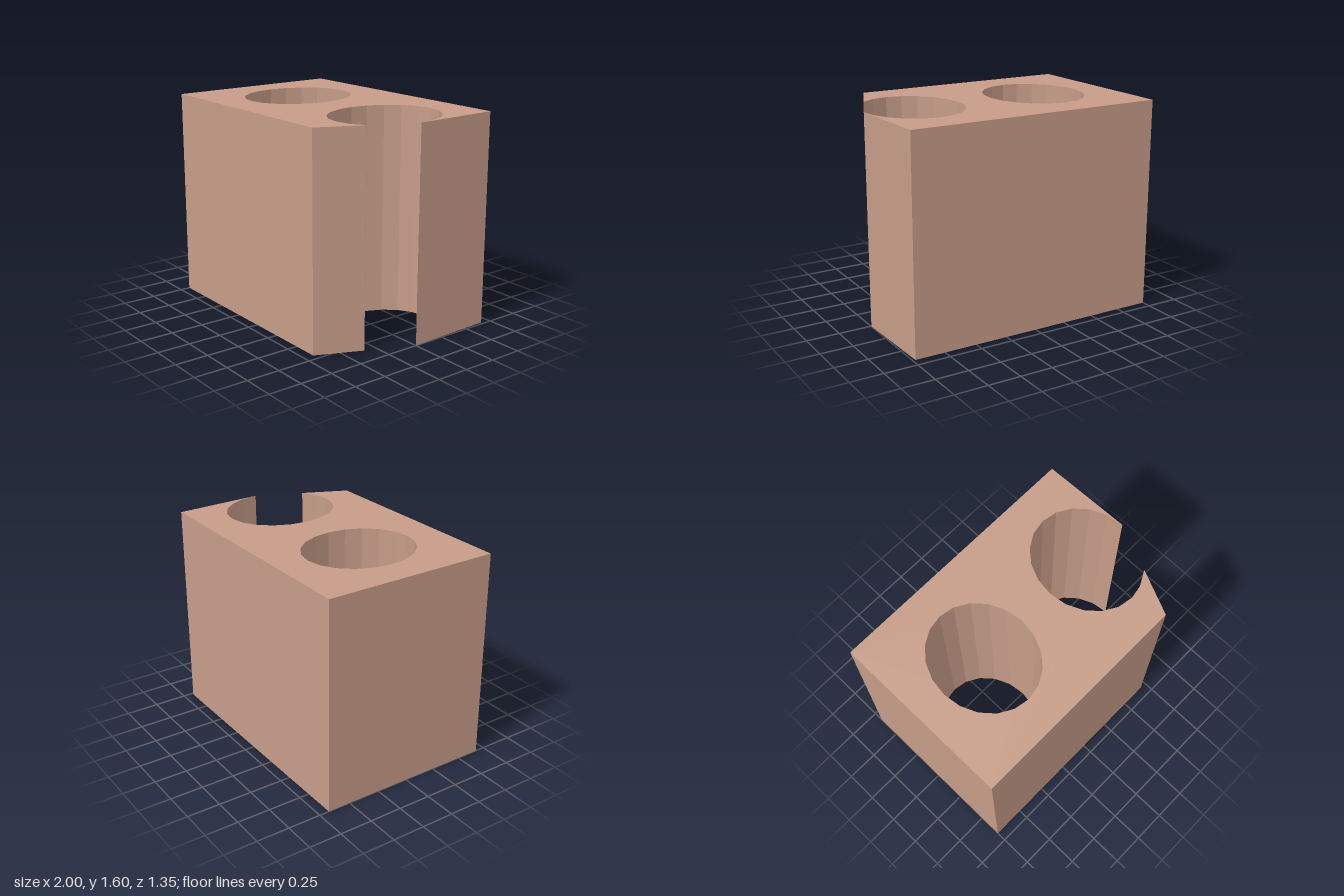
import * as THREE from 'three';

const HEIGHT = 1.595, DEPTH = 0.675, RX = 0.371, RZ = 0.426, SIDES = 20;

// Corner i of a 20-sided oval bore centred on x = cx, counted clockwise
function borePoint(cx, i) {
  const a = -i * 2 * Math.PI / SIDES;
  return new THREE.Vector2(cx + RX * Math.cos(a), 0.003 + RZ * Math.sin(a));
}

export function createModel() {
  const group = new THREE.Group();
  group.name = 'boredBlock';

  // Outline seen from above: a block whose front corner opens into the second bore
  const outline = [new THREE.Vector2(-1, -DEPTH), new THREE.Vector2(0.695, -DEPTH)];
  for (let i = 3; i <= SIDES; i++) outline.push(borePoint(0.627, i));
  outline.push(new THREE.Vector2(0.98, DEPTH), new THREE.Vector2(-1, DEPTH));
  const shape = new THREE.Shape(outline);

  // Closed bore through the other half
  const bore = [];
  for (let i = 0; i < SIDES; i++) bore.push(borePoint(-0.396, i));
  shape.holes.push(new THREE.Path(bore));

  const geometry = new THREE.ExtrudeGeometry(shape, { depth: HEIGHT, bevelEnabled: false });
  geometry.rotateX(-Math.PI / 2);

  const material = new THREE.MeshStandardMaterial({ color: 0xc69c88, flatShading: true });
  const block = new THREE.Mesh(geometry, material);
  block.name = 'block';
  group.add(block);
  return group;
}
